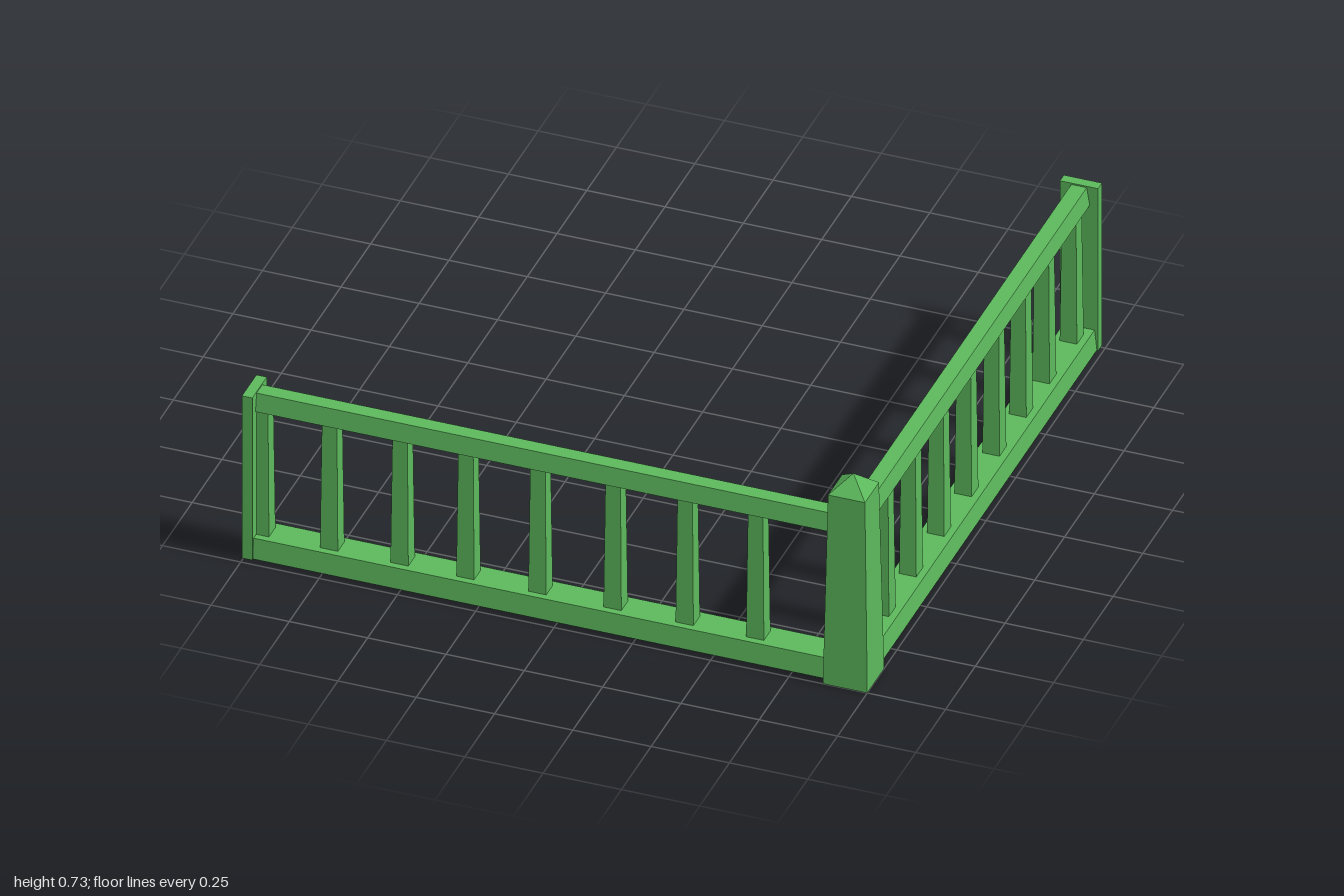
import * as THREE from 'three';

const CORNER = 0.929;

export function createModel() {
  const green = new THREE.MeshStandardMaterial({ color: 0x5cb85c, flatShading: true });
  const model = new THREE.Group();
  model.name = 'cornerFence';

  // Box from y0 to y1 whose top is scaled by (tx, tz)
  function taperedBox(parent, name, w, d, y0, y1, x, tx = 1, tz = 1) {
    const geo = new THREE.BoxGeometry(w, y1 - y0, d);
    const p = geo.attributes.position;
    for (let i = 0; i < p.count; i++) {
      if (p.getY(i) > 0) p.setXYZ(i, p.getX(i) * tx, p.getY(i), p.getZ(i) * tz);
    }
    geo.computeVertexNormals();
    const mesh = new THREE.Mesh(geo, green);
    mesh.name = name;
    mesh.position.set(x, (y0 + y1) / 2, 0);
    parent.add(mesh);
    return mesh;
  }

  // One fence wing running along its own +x from the corner post
  function wing(name, angle, balusters) {
    const g = new THREE.Group();
    g.name = name;
    const end = CORNER + 1;
    const railLength = end - 0.02;
    taperedBox(g, 'bottomRail', railLength, 0.114, 0.01, 0.08, railLength / 2, 1, 0.87);
    taperedBox(g, 'topRail', railLength, 0.068, 0.522, 0.583, railLength / 2, 1, 0.72);
    taperedBox(g, 'endPlate', 0.033, 0.122, 0.008, 0.588, end - 0.0165);
    for (const c of balusters) {
      taperedBox(g, 'baluster', 0.057, 0.055, 0.075, 0.525, CORNER - c, 0.84, 0.84);
    }
    g.position.set(CORNER, 0, CORNER);
    g.rotation.y = angle;
    model.add(g);
  }

  wing('frontWing', Math.PI, [-0.955, -0.735, -0.51, -0.3, -0.07, 0.17, 0.4, 0.625]);
  wing('leftWing', Math.PI / 2, [-0.905, -0.675, -0.48, -0.255, -0.02, 0.21, 0.445, 0.675]);

  // Corner post with a pyramid cap
  const post = new THREE.Group();
  post.name = 'cornerPost';
  post.position.set(CORNER, 0, CORNER);
  taperedBox(post, 'postShaft', 0.142, 0.142, 0, 0.67, 0, 0.83, 0.83);
  const cap = new THREE.Mesh(new THREE.ConeGeometry(0.118 / Math.SQRT2, 0.055, 4), green);
  cap.name = 'postCap';
  cap.rotation.y = Math.PI / 4;
  cap.position.y = 0.6975;
  post.add(cap);
  model.add(post);

  return model;
}
